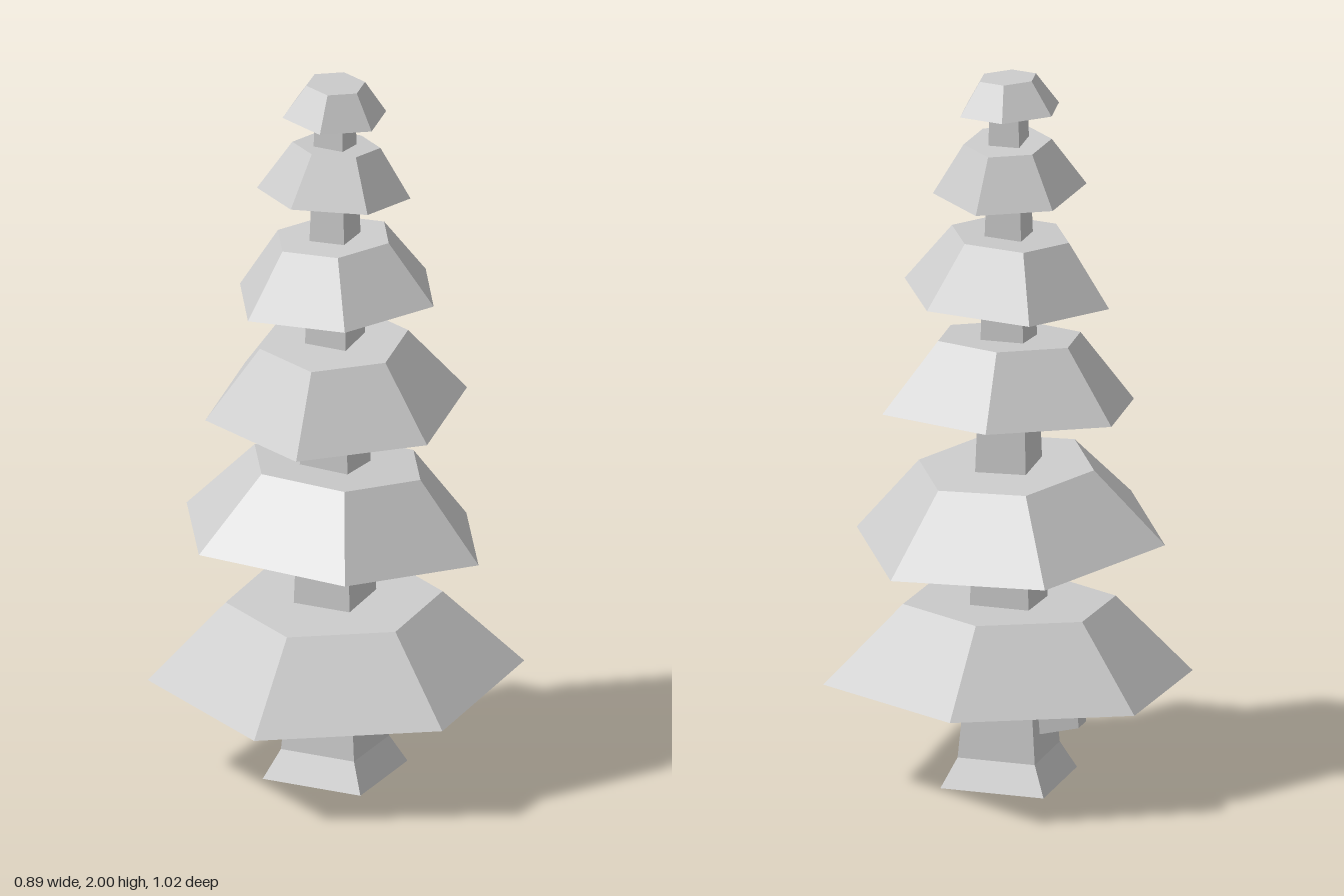
import * as THREE from 'three';

const material = new THREE.MeshStandardMaterial({ color: 0xcccccc, flatShading: true });

// Frustum with `sides` corners, given radii and height
function frustum(name, rTop, rBottom, height, sides, open = false) {
  const geometry = new THREE.CylinderGeometry(rTop, rBottom, height, sides, 1, open);
  const mesh = new THREE.Mesh(geometry, material);
  mesh.name = name;
  return mesh;
}

// Square trunk: stacked four-sided frusta, from [height, half width] rings
function makeTrunk() {
  const trunk = new THREE.Group();
  trunk.name = 'trunk';
  const rings = [[0, 0.147], [0.08, 0.11], [0.28, 0.094], [0.5, 0.084], [1.94, 0.04]];
  for (let i = 0; i < rings.length - 1; i++) {
    const [y0, w0] = rings[i];
    const [y1, w1] = rings[i + 1];
    const part = frustum('trunkSection', w1 * Math.SQRT2, w0 * Math.SQRT2, y1 - y0, 4, i > 0);
    part.position.y = (y0 + y1) / 2;
    part.rotation.y = Math.PI / 4;
    trunk.add(part);
  }
  return trunk;
}

// Short cut-off branch on the side of the trunk
function makeBranchStub() {
  const geometry = new THREE.CylinderGeometry(0.033 * Math.SQRT2, 0.052 * Math.SQRT2, 0.13, 4);
  geometry.rotateY(Math.PI / 4);
  geometry.rotateZ(Math.PI / 2 - 0.07);
  const stub = new THREE.Mesh(geometry, material);
  stub.name = 'branchStub';
  stub.position.set(-0.143, 0.2, 0);
  return stub;
}

// Foliage tiers: bottom and top heights and radii, turn in degrees, slope along x and z
const tiers = [
  { y0: 0.287, y1: 0.505, r0: 0.512, r1: 0.295, turn: 0, sx: 0, sz: -0.054 },
  { y0: 0.687, y1: 0.893, r0: 0.44, r1: 0.25, turn: 30, sx: -0.04, sz: 0.066 },
  { y0: 1.06, y1: 1.255, r0: 0.364, r1: 0.206, turn: 8.3, sx: -0.013, sz: -0.096 },
  { y0: 1.38, y1: 1.55, r0: 0.292, r1: 0.167, turn: 30, sx: 0.053, sz: -0.02 },
  { y0: 1.678, y1: 1.815, r0: 0.209, r1: 0.12, turn: -8.3, sx: -0.016, sz: 0.088 },
  { y0: 1.904, y1: 1.995, r0: 0.145, r1: 0.082, turn: 10, sx: -0.06, sz: -0.03 },
];

function makeFoliage() {
  const foliage = new THREE.Group();
  foliage.name = 'foliage';
  const up = new THREE.Vector3(0, 1, 0);
  for (const t of tiers) {
    const tier = frustum('foliageTier', t.r1, t.r0, t.y1 - t.y0, 6);
    tier.geometry.rotateY(THREE.MathUtils.degToRad(t.turn));
    // Lean the tier so that its base follows the slopes
    const normal = new THREE.Vector3(-t.sx, 1, -t.sz).normalize();
    tier.quaternion.setFromUnitVectors(up, normal);
    tier.position.y = (t.y0 + t.y1) / 2;
    foliage.add(tier);
  }
  return foliage;
}

export function createModel() {
  const tree = new THREE.Group();
  tree.name = 'tree';
  tree.add(makeTrunk(), makeBranchStub(), makeFoliage());
  return tree;
}
